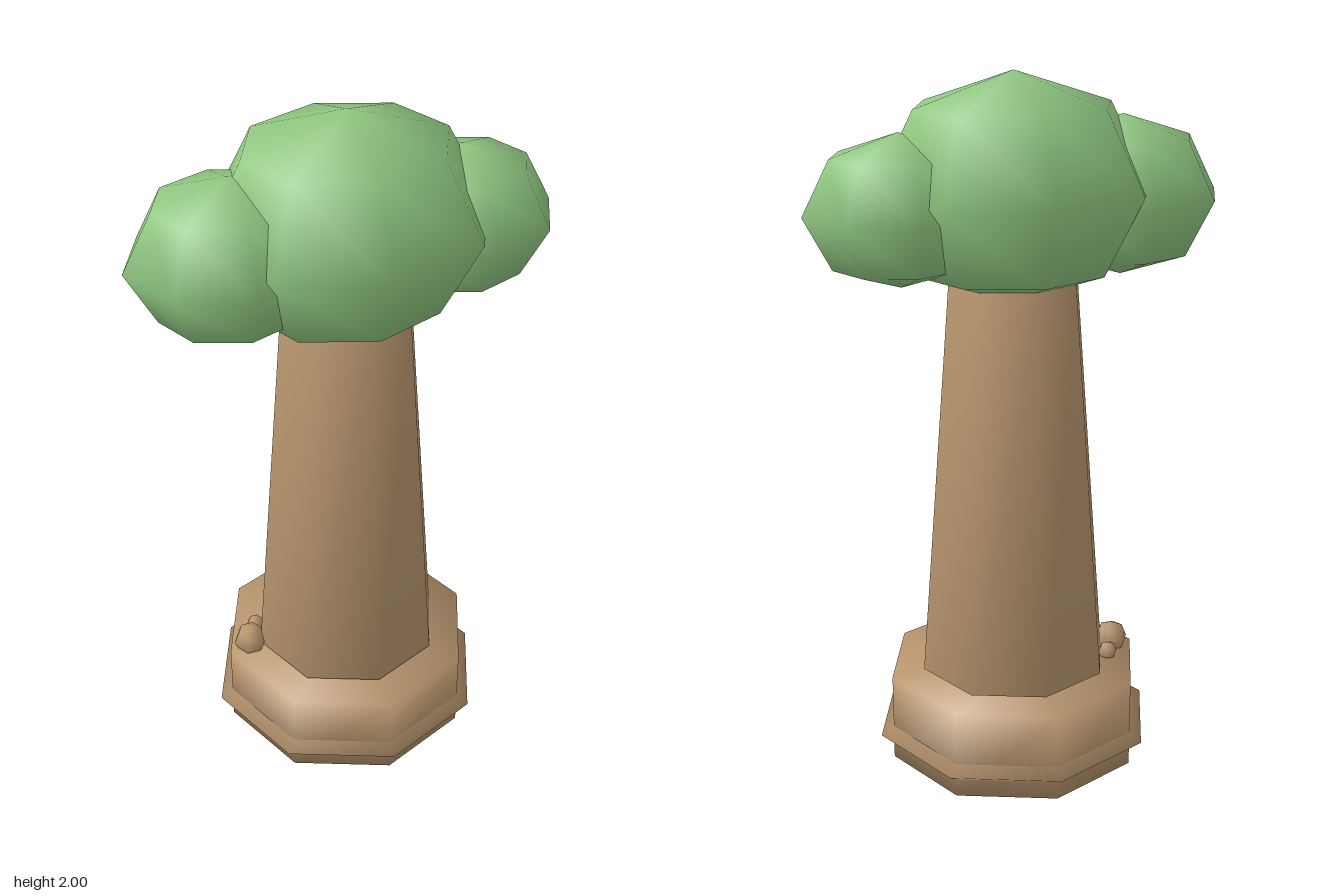
import * as THREE from 'three';
import { mergeVertices } from 'three/addons/utils/BufferGeometryUtils.js';

const CX = 0.005; // shared centre line

// Weld all corners so shading runs smoothly over every edge, caps included
function weld(geometry) {
  geometry.deleteAttribute('uv');
  geometry.deleteAttribute('normal');
  const welded = mergeVertices(geometry, 1e-4);
  welded.computeVertexNormals();
  return welded;
}

export function createModel() {
  const model = new THREE.Group();
  const bark = new THREE.MeshStandardMaterial({ color: 0xb9966f });
  bark.name = 'bark brown';
  const leaf = new THREE.MeshStandardMaterial({ color: 0x90c781 });
  leaf.name = 'leaf green';

  function add(name, geometry, material, x, y, z) {
    const mesh = new THREE.Mesh(weld(geometry), material);
    mesh.name = name;
    mesh.position.set(x, y, z);
    model.add(mesh);
  }

  // Low-poly ellipsoid
  function blob(name, material, [x, y, z], [rx, ry, rz], sides = 8) {
    add(name, new THREE.SphereGeometry(1, sides, 4).scale(rx, ry, rz), material, x, y, z);
  }

  // Eight-sided drum or taper between two heights
  function drum(name, rTop, rBottom, y0, y1) {
    add(name, new THREE.CylinderGeometry(rTop, rBottom, y1 - y0, 8), bark, CX, (y0 + y1) / 2, 0);
  }

  // Base: a drum pierced by a flattened ball that forms the rim and the underside
  drum('base', 0.37, 0.37, 0.037, 0.295);
  blob('baseRim', bark, [CX, 0.113, 0], [0.407, 0.113, 0.407]);

  // Trunk
  drum('trunk', 0.185, 0.275, 0.307, 1.448);

  // Crown
  blob('crown', leaf, [CX, 1.69, 0], [0.39, 0.31, 0.342]);
  blob('rightFoliage', leaf, [-0.307, 1.653, 0], [0.278, 0.22, 0.244]);
  blob('leftFoliage', leaf, [0.32, 1.65, 0], [0.26, 0.205, 0.23]);

  // Pebbles on the base
  const pebbles = [
    [-0.298, 0.318, -0.01, 0.05],
    [-0.262, 0.31, -0.075, 0.028],
    [-0.11, 0.28, 0.12, 0.06],
    [-0.1, 0.28, -0.08, 0.06],
  ];
  for (const [x, y, z, r] of pebbles) {
    blob('pebble', bark, [x, y, z], [r, r, r], 6);
  }
  return model;
}
